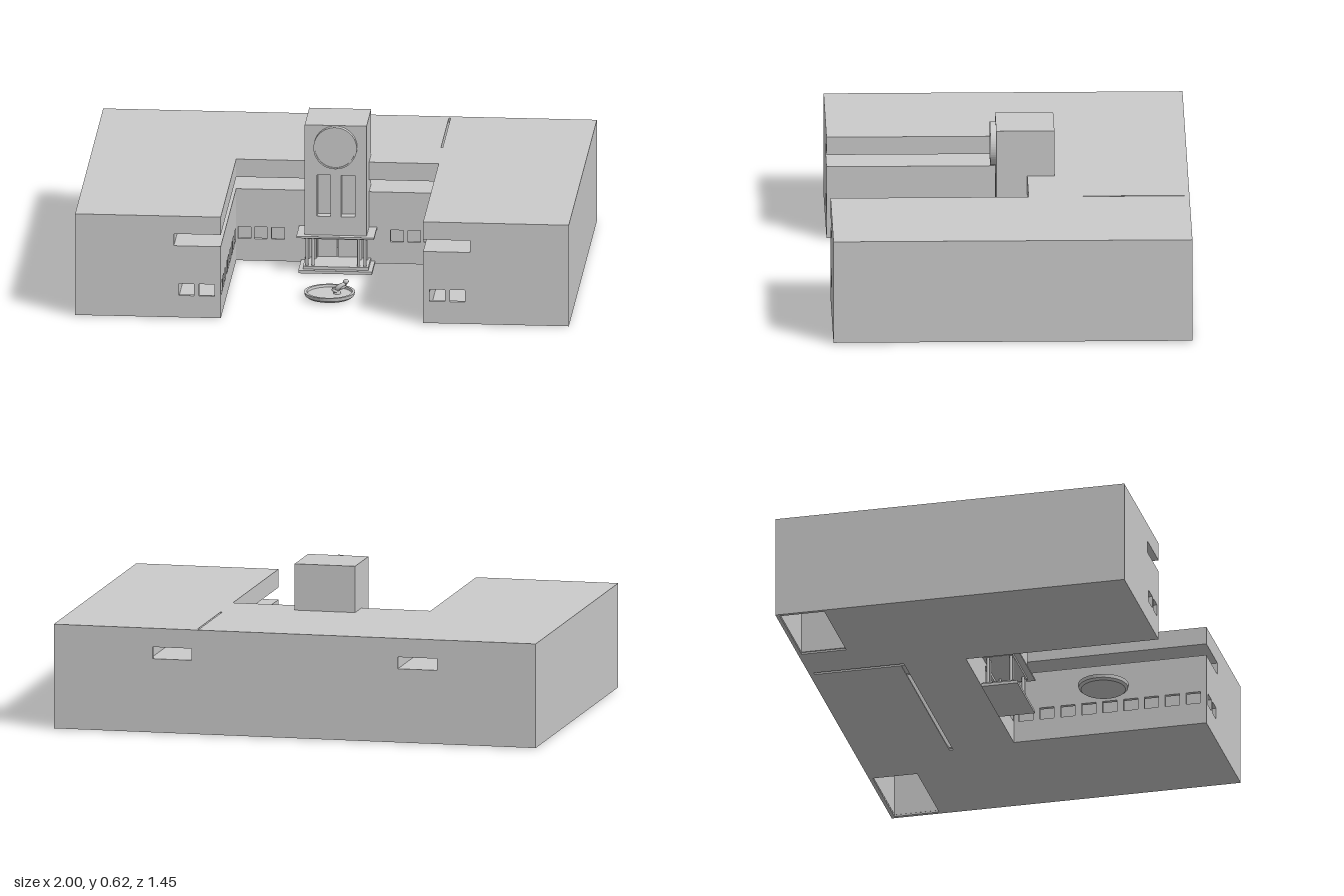
import * as THREE from 'three';

const mat = new THREE.MeshStandardMaterial({ color: 0xcccccc, flatShading: true, side: THREE.DoubleSide });
const smooth = new THREE.MeshStandardMaterial({ color: 0xcccccc });

export function createModel() {
  const model = new THREE.Group();

  const add = (name, geo, x = 0, y = 0, z = 0, m = mat) => {
    const mesh = new THREE.Mesh(geo, m);
    mesh.name = name;
    mesh.position.set(x, y, z);
    model.add(mesh);
    return mesh;
  };

  // box given by its extents
  const block = (name, x0, x1, y0, y1, z0, z1) =>
    add(name, new THREE.BoxGeometry(x1 - x0, y1 - y0, z1 - z0), (x0 + x1) / 2, (y0 + y1) / 2, (z0 + z1) / 2);

  const rectPath = (a, b, c, d) => new THREE.Path(
    [[a, c], [b, c], [b, d], [a, d]].map(p => new THREE.Vector2(...p)));

  // flat slab from a plan outline in (x, z), with rectangular holes [x0, x1, z0, z1]
  const slab = (name, outline, y0, y1, holes = []) => {
    const shape = new THREE.Shape(outline.map(([x, z]) => new THREE.Vector2(x, -z)));
    holes.forEach(([a, b, c, d]) => shape.holes.push(rectPath(a, b, -d, -c)));
    const geo = new THREE.ExtrudeGeometry(shape, { depth: y1 - y0, bevelEnabled: false });
    geo.rotateX(-Math.PI / 2);
    return add(name, geo, 0, y0, 0);
  };

  // upright wall centred on a plan line, with openings [start, end, bottom, top] along it
  const wall = (name, [x0, z0], [x1, z1], y0, y1, holes = [], t = 0.016) => {
    const len = Math.hypot(x1 - x0, z1 - z0);
    const shape = new THREE.Shape(rectPath(0, len, y0, y1).getPoints());
    holes.forEach(h => shape.holes.push(rectPath(...h)));
    const geo = new THREE.ExtrudeGeometry(shape, { depth: t, bevelEnabled: false });
    geo.translate(0, 0, -t / 2);
    geo.rotateY(Math.atan2(z0 - z1, x1 - x0));
    return add(name, geo, x0, 0, z0);
  };

  const BACK = -0.73, FRONT = 0.72, COURT = -0.08, IN = 0.41, MID = 0.6;
  const GROUND = 0.01, LEDGE = 0.305, SOFFIT = 0.355, TOP = 0.43;
  const WIN = [0.095, 0.145], h = 0.008;

  // U-shaped roof and floor
  const plan = [[-1, BACK], [1, BACK], [1, FRONT], [IN, FRONT], [IN, COURT], [-IN, COURT], [-IN, FRONT], [-1, FRONT]];
  slab('roof', plan, SOFFIT, TOP, [[0.402, 0.409, -0.71, -0.3]]);
  slab('floor', plan, 0.003, GROUND, [
    [0.61, 0.985, -0.715, -0.53], [-0.985, -0.61, -0.715, -0.53],
    [-0.41, 0.42, -0.35, -0.335], [-0.425, -0.41, -0.71, -0.335]]);

  // open gallery deck around the courtyard
  slab('galleryDeck', [[-MID, BACK + 0.016], [-0.42, BACK + 0.016], [-0.42, -0.27], [0.42, -0.27],
    [0.42, BACK + 0.016], [MID, BACK + 0.016], [MID, FRONT], [IN, FRONT], [IN, COURT], [-IN, COURT],
    [-IN, FRONT], [-MID, FRONT]], LEDGE - 0.015, LEDGE);

  // back wall with the gallery's end openings
  wall('backWall', [-1, BACK + h], [1, BACK + h], GROUND, SOFFIT,
    [[0.41, 0.575, LEDGE, SOFFIT - 0.002], [1.425, 1.59, LEDGE, SOFFIT - 0.002]]);

  // courtyard back wall with window rows and doorway
  const rearWindows = [];
  [0.215, 0.285, 0.35].forEach(x => {
    rearWindows.push([IN + x, IN + x + 0.052, ...WIN], [IN - x - 0.052, IN - x, ...WIN]);
  });
  rearWindows.push([IN - 0.08, IN + 0.08, 0.024, 0.125]);
  wall('courtyardRearWall', [-IN, COURT - h], [IN, COURT - h], GROUND, LEDGE, rearWindows);
  wall('galleryRearWall', [-0.42, -0.27], [0.42, -0.27], GROUND, SOFFIT);

  // walls of both wings
  const sideWindows = Array.from({ length: 9 }, (_, i) => [0.02 + i * 0.087, 0.08 + i * 0.087, ...WIN]);
  for (const s of [-1, 1]) {
    wall('outerSideWall', [s * (1 - h), BACK], [s * (1 - h), FRONT], GROUND, SOFFIT);
    wall('wingFrontWall', [Math.min(s, s * MID), FRONT - h], [Math.max(s, s * MID), FRONT - h], GROUND, SOFFIT);
    wall('corridorWall', [s * (MID + h), BACK], [s * (MID + h), FRONT], GROUND, SOFFIT);
    wall('corridorReturnWall', [s * 0.42, BACK], [s * 0.42, -0.27], GROUND, SOFFIT);
    wall('courtyardSideWall', [s * (IN + h), COURT], [s * (IN + h), FRONT], GROUND, LEDGE, sideWindows);
    wall('wingEndWall', [s * IN, FRONT - h], [s * MID, FRONT - h], GROUND, LEDGE,
      [[0.025, 0.088, ...WIN], [0.108, 0.17, ...WIN]]);
  }

  // clock tower with two tall recesses
  block('tower', -0.123, 0.128, 0.155, 0.62, -0.19, 0.005);
  wall('towerFront', [-0.123, 0.025], [0.128, 0.025], 0.155, 0.62,
    [[0.05, 0.105, 0.235, 0.41], [0.148, 0.203, 0.235, 0.41]], 0.04);
  const dial = new THREE.CylinderGeometry(0.086, 0.086, 0.02, 48).rotateX(Math.PI / 2);
  add('clockFace', dial, 0.002, 0.53, 0.053, smooth);
  const rim = new THREE.LatheGeometry(
    [[0.082, 0], [0.088, 0], [0.088, 0.023], [0.082, 0.023], [0.082, 0]].map(p => new THREE.Vector2(...p)), 48);
  add('clockRim', rim.rotateX(Math.PI / 2), 0.002, 0.53, 0.045);

  // entrance porch
  block('canopy', -0.155, 0.16, 0.148, 0.156, COURT, 0.07);
  block('canopyBeam', -0.125, 0.13, 0.138, 0.148, COURT, 0.045);
  block('lowerStep', -0.147, 0.152, 0, 0.012, COURT, 0.07);
  block('upperStep', -0.13, 0.135, 0.012, 0.024, COURT, 0.05);
  for (const x of [-0.115, -0.09, 0.095, 0.12]) {
    for (const z of [-0.06, 0.035]) {
      add('porchColumn', new THREE.CylinderGeometry(0.006, 0.006, 0.114, 12), x, 0.081, z, smooth);
    }
  }
  block('leftDoor', 0.002, 0.08, 0.024, 0.125, -0.095, -0.09);
  block('rightDoor', -0.08, -0.002, 0.024, 0.125, -0.095, -0.09);

  // round fountain basin
  const basin = [[0, 0.004], [0.09, 0.004], [0.1, 0.012], [0.103, 0.026], [0.092, 0.026], [0.09, 0.016], [0, 0.016]];
  add('fountainBasin', new THREE.LatheGeometry(basin.map(p => new THREE.Vector2(...p)), 40), 0.005, 0, 0.39);

  // small leaning figure on the fountain
  const ball = (name, x, y, z, sx, sy, sz, tilt) => {
    const m = add(name, new THREE.SphereGeometry(1, 12, 8), x, y, z, smooth);
    m.scale.set(sx, sy, sz);
    m.rotation.z = tilt;
  };
  add('figureBase', new THREE.CylinderGeometry(0.012, 0.016, 0.015, 10), 0.035, 0.022, 0.385);
  ball('figureBody', 0.047, 0.043, 0.38, 0.026, 0.012, 0.013, 0.6);
  ball('figureHead', 0.07, 0.064, 0.375, 0.012, 0.01, 0.01, 0.3);
  for (const s of [-1, 1]) {
    ball('figureArm', 0.062, 0.045, 0.378 + s * 0.018, 0.016, 0.005, 0.006, 0.5);
    ball('figureLeg', 0.025, 0.03, 0.385 + s * 0.01, 0.014, 0.006, 0.006, -0.5);
  }
  return model;
}
